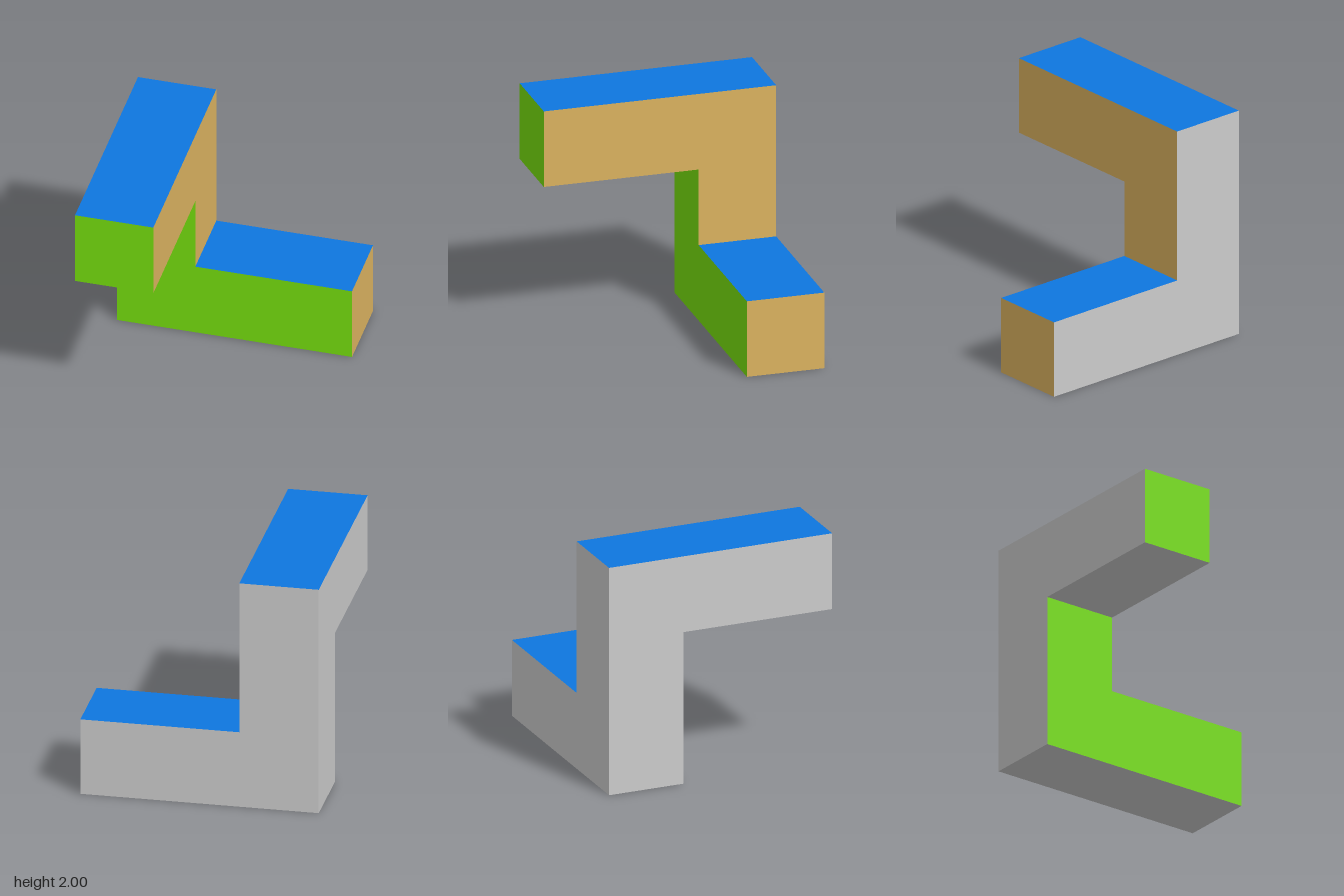
import * as THREE from 'three';

const U = 2 / 3; // edge of one cube unit

const paint = (color) => new THREE.MeshStandardMaterial({ color });

export function createModel() {
  const grey = paint(0xcccccc);
  const green = paint(0x77df0e);
  const tan = paint(0xdcb360);
  const blue = paint(0x0e76df);

  // Outward direction, turn of a +z facing plane, and colour of each side
  const sides = {
    front: { dir: [0, 0, 1], turn: [0, 0, 0], material: green },
    back: { dir: [0, 0, -1], turn: [0, Math.PI, 0], material: grey },
    left: { dir: [1, 0, 0], turn: [0, Math.PI / 2, 0], material: tan },
    right: { dir: [-1, 0, 0], turn: [0, -Math.PI / 2, 0], material: grey },
    top: { dir: [0, 1, 0], turn: [-Math.PI / 2, 0, 0], material: blue },
    bottom: { dir: [0, -1, 0], turn: [Math.PI / 2, 0, 0], material: grey },
  };

  // One rectangular side of a block spanning min..max (in cube units)
  function panel(side, min, max) {
    const { dir, turn, material } = sides[side];
    const size = max.map((m, i) => (m - min[i]) * U);
    const width = dir[0] ? size[2] : size[0];
    const height = dir[1] ? size[2] : size[1];
    const mesh = new THREE.Mesh(new THREE.PlaneGeometry(width, height), material);
    mesh.name = side + 'Face';
    mesh.rotation.set(...turn);
    const p = min.map((m, i) => ((m + max[i]) * U) / 2 + (dir[i] * size[i]) / 2);
    mesh.position.set(p[0] - 1, p[1], p[2] - 1);
    return mesh;
  }

  // A block; `trim` replaces a side's span, or drops it when null
  function block(name, min, max, trim) {
    const part = new THREE.Group();
    part.name = name;
    for (const side of Object.keys(sides)) {
      const span = side in trim ? trim[side] : [min, max];
      if (span) part.add(panel(side, ...span));
    }
    return part;
  }

  const model = new THREE.Group();
  model.name = 'cornerBlocks';
  model.add(
    // Upright, open where the arm and foot join it
    block('column', [0, 0, 0], [1, 3, 1], {
      front: [[0, 0, 0], [1, 2, 1]],
      left: [[0, 1, 0], [1, 3, 1]],
    }),
    // Beam running sideways along the ground
    block('foot', [1, 0, 0], [3, 1, 1], { right: null }),
    // Beam running forward from the top
    block('arm', [0, 2, 1], [1, 3, 3], { back: null }),
  );
  return model;
}
